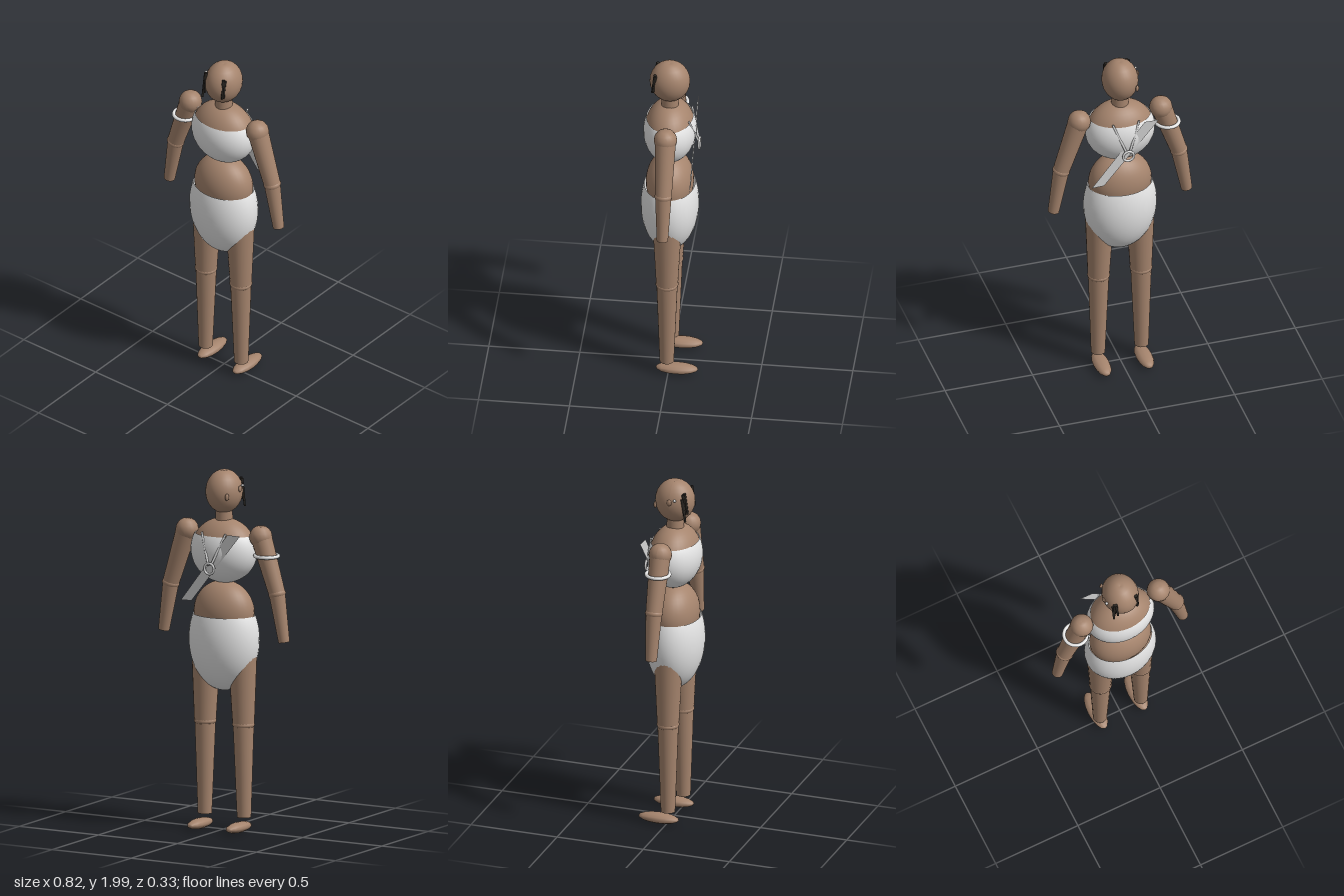
import * as THREE from 'three';

const skin = new THREE.MeshStandardMaterial({ name: 'skin', color: 0xa5846d });
const cloth = new THREE.MeshStandardMaterial({ name: 'whiteCloth', color: 0xe6e6e6, side: THREE.DoubleSide });
const trim = new THREE.MeshStandardMaterial({ name: 'paleTrim', color: 0xd6d6d6, side: THREE.DoubleSide });
const hair = new THREE.MeshStandardMaterial({ name: 'darkHair', color: 0x2b2723 });

const V = (x, y, z) => new THREE.Vector3(x, y, z);

export function createModel() {
  const group = new THREE.Group();

  function add(name, geometry, material, position = [0, 0, 0]) {
    const mesh = new THREE.Mesh(geometry, material);
    mesh.name = name;
    mesh.position.set(...position);
    group.add(mesh);
    return mesh;
  }

  // Ellipsoid; thetaStart cuts the top off, dimple sinks the poles
  function ellipsoid(name, material, position, radii, { cutY = 1, dimple = 0, seg = [32, 24] } = {}) {
    const start = Math.acos(cutY);
    const g = new THREE.SphereGeometry(1, seg[0], seg[1], 0, Math.PI * 2, start, Math.PI - start);
    const p = g.attributes.position;
    if (dimple) {
      for (let i = 0; i < p.count; i++) {
        if (Math.abs(p.getY(i)) > 0.9999) p.setY(i, p.getY(i) * (1 - dimple));
      }
      g.computeVertexNormals();
    }
    g.scale(...radii);
    return add(name, g, material, position);
  }

  // Tapered limb between two points
  function limb(name, from, to, r0, r1, material = skin, sides = 24) {
    const dir = to.clone().sub(from);
    const g = new THREE.CylinderGeometry(r1, r0, dir.length(), sides);
    const mesh = add(name, g, material);
    mesh.position.copy(from).addScaledVector(dir, 0.5);
    mesh.quaternion.setFromUnitVectors(V(0, 1, 0), dir.normalize());
    return mesh;
  }

  // Head and neck
  ellipsoid('head', skin, [0, 1.88, 0.005], [0.1, 0.121, 0.111], { dimple: 0.06, seg: [32, 14] });
  limb('neck', V(0, 1.69, 0.005), V(0, 1.79, 0.005), 0.049, 0.045);

  // Small ear details on the right side of the head
  ellipsoid('ear', skin, [-0.071, 1.865, -0.086], [0.012, 0.02, 0.008], { seg: [12, 8] }).rotation.y = 0.7;
  ellipsoid('earLobe', skin, [-0.1, 1.9, 0.005], [0.008, 0.018, 0.014], { seg: [12, 8] });
  ellipsoid('earStud', trim, [-0.098, 1.915, 0.036], [0.008, 0.008, 0.008], { seg: [12, 8] });

  // Hair strands hanging beside the face
  const strands = [
    [-0.062, 1.95, 0.08, -0.058, 1.83, 0.098],
    [-0.07, 1.945, 0.076, -0.074, 1.83, 0.088],
    [-0.076, 1.92, 0.072, -0.08, 1.79, 0.092],
    [0.058, 1.95, 0.08, 0.06, 1.835, 0.096],
    [0.064, 1.945, 0.076, 0.066, 1.84, 0.09],
  ];
  for (const [ax, ay, az, bx, by, bz] of strands) {
    limb('hairStrand', V(ax, ay, az), V(bx, by, bz), 0.009, 0.006, hair, 6);
  }

  // Torso with a cropped top and briefs fitted over it
  ellipsoid('chest', skin, [0, 1.555, 0.005], [0.189, 0.178, 0.139]);
  ellipsoid('croppedTop', cloth, [0, 1.555, 0.005], [0.195, 0.182, 0.145], { cutY: 0.49 });
  ellipsoid('waist', skin, [0, 1.21, 0.005], [0.177, 0.175, 0.131]);
  ellipsoid('briefs', cloth, [0, 1.06, 0.005], [0.205, 0.285, 0.159], { cutY: 0.48 });

  // Arms, legs and feet
  for (const [side, s] of [['left', 1], ['right', -1]]) {
    const elbow = V(s * 0.336, 1.34, 0.003);
    ellipsoid(side + 'Shoulder', skin, [s * 0.233, 1.647, 0.003], [0.064, 0.064, 0.064], { dimple: 0.1, seg: [20, 8] });
    limb(side + 'UpperArm', V(s * 0.238, 1.64, 0.003), elbow, 0.058, 0.046);
    ellipsoid(side + 'Elbow', skin, elbow.toArray(), [0.049, 0.03, 0.049], { seg: [20, 10] }).rotation.z = s * 0.25;
    limb(side + 'Forearm', elbow, V(s * 0.38, 1.075, 0.003), 0.045, 0.031);

    const knee = V(s * 0.121, 0.595, 0.007);
    limb(side + 'Thigh', V(s * 0.115, 1.01, 0.007), knee, 0.081, 0.06);
    ellipsoid(side + 'Knee', skin, knee.toArray(), [0.063, 0.03, 0.063], { seg: [20, 10] });
    limb(side + 'Shin', knee, V(s * 0.124, 0.08, 0.008), 0.058, 0.039);

    const foot = new THREE.SphereGeometry(1, 12, 8).rotateX(Math.PI / 2).scale(0.046, 0.029, 0.117);
    add(side + 'Foot', foot, skin, [s * 0.122, 0.032, -0.047]);

    // Cords running from the back ring up over the shoulder blades
    limb('backCord', V(s * 0.008, 1.49, -0.153), V(s * 0.075, 1.663, -0.109), 0.007, 0.006, trim, 10);
  }

  // Bracelet on the right upper arm
  add('armBand', new THREE.TorusGeometry(0.064, 0.01, 10, 36).rotateX(Math.PI / 2), cloth, [-0.27, 1.545, 0.002]);

  // Ring on the back
  add('backRing', new THREE.TorusGeometry(0.03, 0.007, 10, 28), trim, [0, 1.473, -0.157]);

  // Flat sash slanting across the back
  const sash = new THREE.Shape([[0.13, 1.28], [0.2, 1.275], [-0.1, 1.665], [-0.18, 1.665]].map(([x, y]) => new THREE.Vector2(x, y)));
  add('backSash', new THREE.ShapeGeometry(sash), trim, [0, 0, -0.129]).rotation.y = -0.03;

  return group;
}
